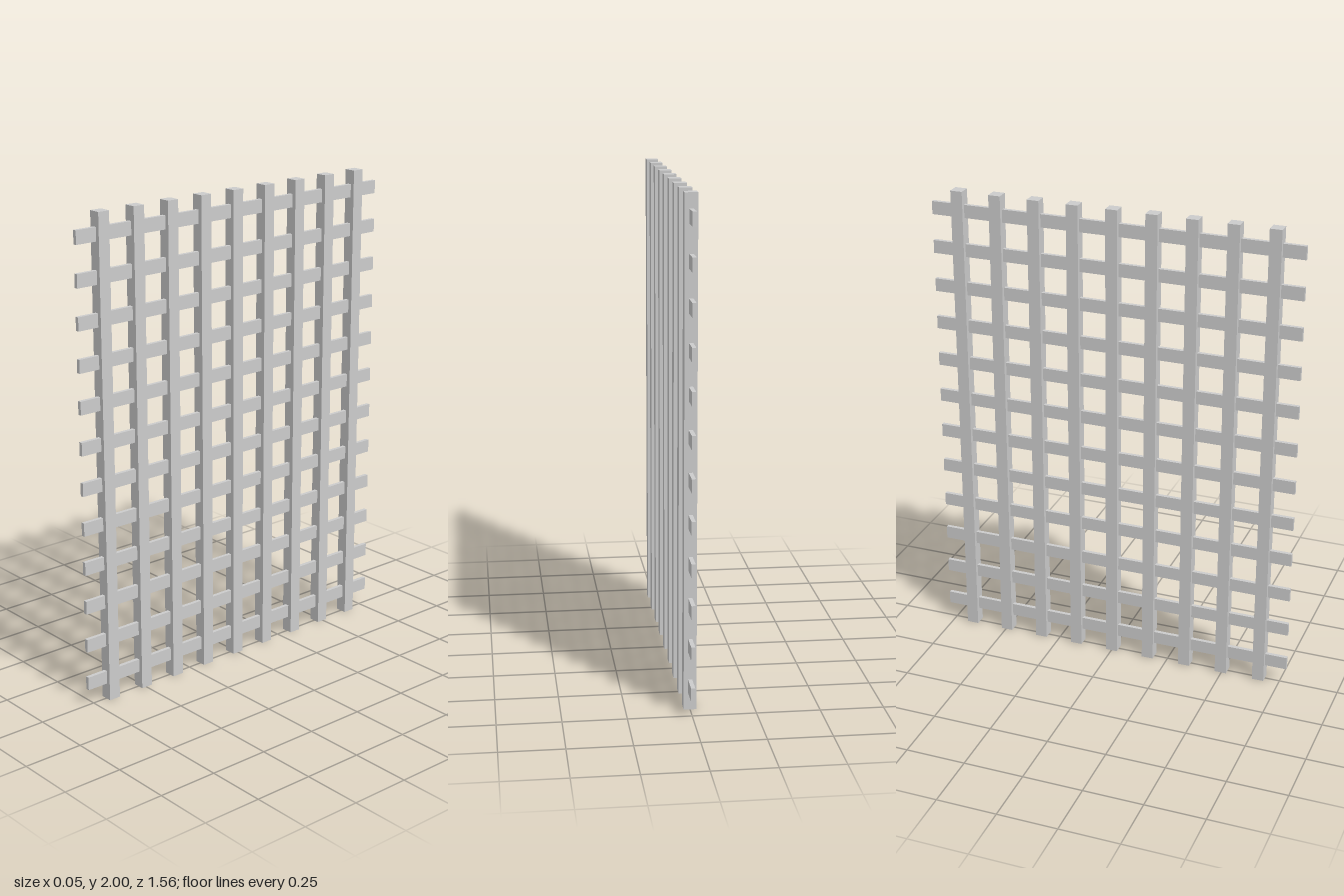
import * as THREE from 'three';

export function createModel() {
  const group = new THREE.Group();
  group.name = 'lattice';
  const material = new THREE.MeshStandardMaterial({ color: 0xcccccc, flatShading: true });
  const pitch = 0.1652;

  const addBar = (geometry, name, y, z) => {
    const bar = new THREE.Mesh(geometry, material);
    bar.name = name;
    bar.position.set(0, y, z);
    group.add(bar);
  };

  // Square upright bars
  const upright = new THREE.BoxGeometry(0.05, 2, 0.05);
  for (let i = 0; i < 9; i++) addBar(upright, `uprightBar${i + 1}`, 1, (i - 4) * pitch);

  // Thin flat slats running through the uprights
  const slat = new THREE.BoxGeometry(0.016, 0.055, 1.556);
  for (let i = 0; i < 12; i++) addBar(slat, `crossSlat${i + 1}`, 0.0965 + i * pitch, 0);

  return group;
}
